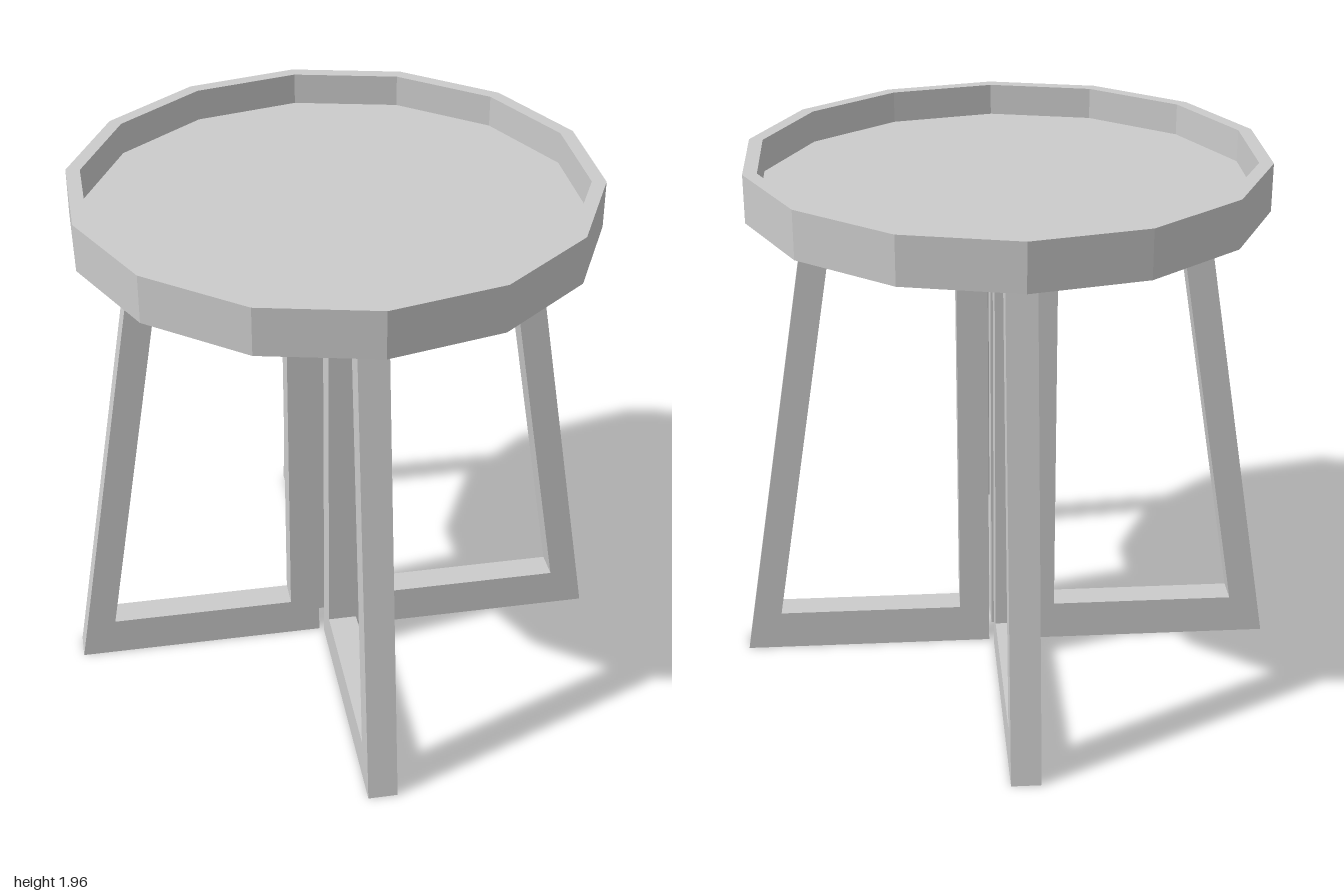
import * as THREE from 'three';

const material = new THREE.MeshStandardMaterial({ color: 0xcccccc, flatShading: true });

const SEAT_BOTTOM = 1.786;
const SEAT_TOP = 1.957;
const LEG_WIDTH = 0.106;

// Fourteen-sided tray: underside, outer wall, flat rim, inner wall and sunken floor
function makeTray() {
  const profile = [
    [0, SEAT_BOTTOM], [0.925, SEAT_BOTTOM], [0.925, SEAT_TOP],
    [0.875, SEAT_TOP], [0.875, SEAT_BOTTOM + 0.055], [0, SEAT_BOTTOM + 0.055],
  ].map(([r, y]) => new THREE.Vector2(r, y));
  const tray = new THREE.Mesh(new THREE.LatheGeometry(profile, 14), material);
  tray.name = 'trayTop';
  return tray;
}

// Open-topped frame: upright inner post, floor bar and slanted outer leg
function makeLegGeometry() {
  const outline = [
    [0.07, 0], [1, 0], [0.705, SEAT_BOTTOM], [0.602, SEAT_BOTTOM],
    [0.869, 0.15], [0.182, 0.15], [0.182, SEAT_BOTTOM], [0.07, SEAT_BOTTOM],
  ].map(([x, y]) => new THREE.Vector2(x, y));
  const geometry = new THREE.ExtrudeGeometry(new THREE.Shape(outline), {
    depth: LEG_WIDTH, bevelEnabled: false,
  });
  return geometry.translate(0, 0, -LEG_WIDTH / 2);
}

export function createModel() {
  const table = new THREE.Group();
  table.name = 'trayTable';
  table.add(makeTray());

  // Four identical frames set in a cross
  const legGeometry = makeLegGeometry();
  ['leftLegFrame', 'backLegFrame', 'rightLegFrame', 'frontLegFrame'].forEach((name, i) => {
    const leg = new THREE.Mesh(legGeometry, material);
    leg.name = name;
    leg.rotation.y = i * Math.PI / 2;
    table.add(leg);
  });
  return table;
}
